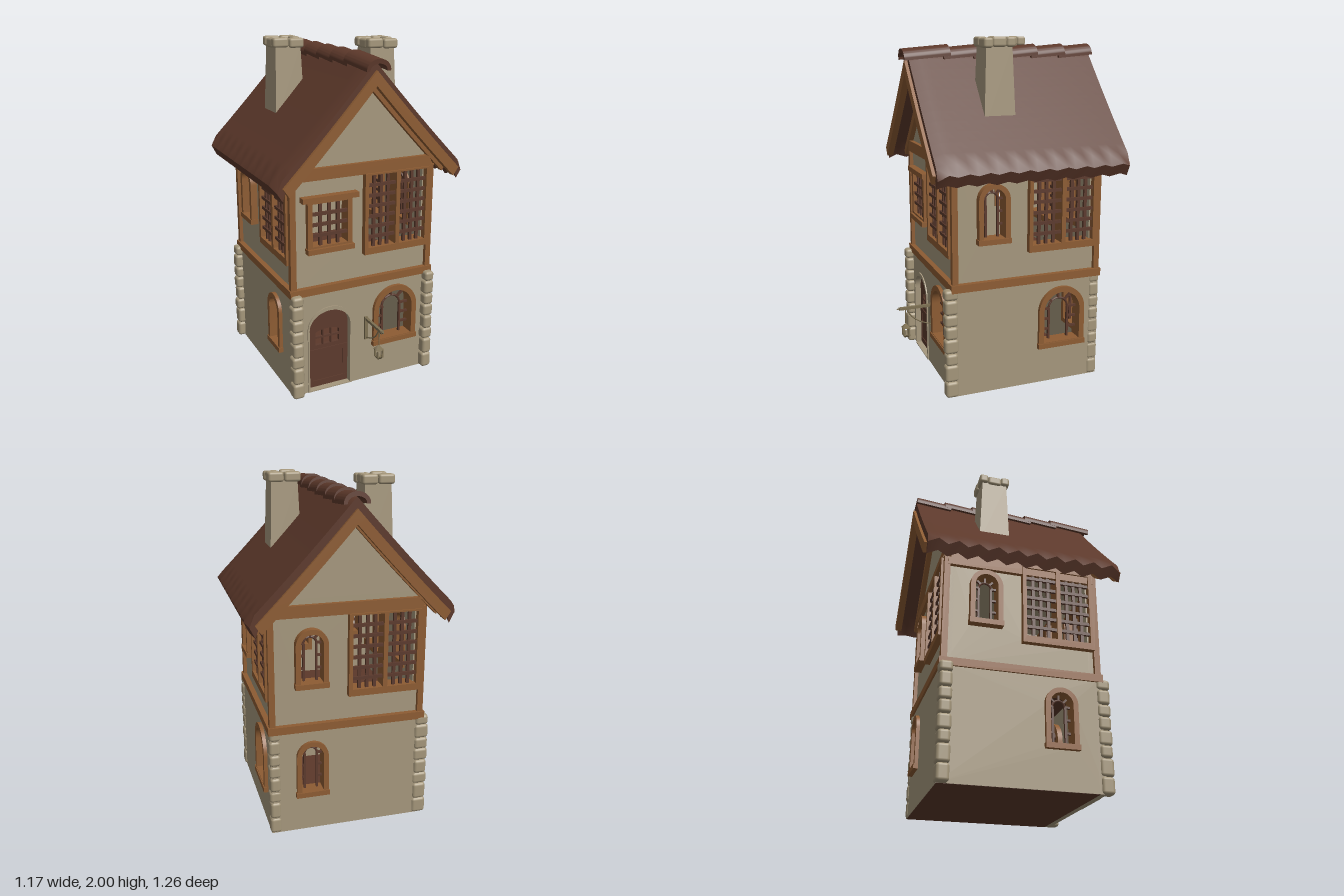
import * as THREE from 'three';
import { toCreasedNormals } from 'three/addons/utils/BufferGeometryUtils.js';
import { RoundedBoxGeometry } from 'three/addons/geometries/RoundedBoxGeometry.js';

const paint = (name, color) => Object.assign(new THREE.MeshStandardMaterial({ color }), { name });
const M = {
  plaster: paint('plaster', 0xa5977d), wood: paint('timber', 0x8d5c33), roof: paint('roofTile', 0x5c382a),
  door: paint('darkTimber', 0x5c3a2d), stone: paint('stone', 0xa4967a), iron: paint('lanternMetal', 0x7d7053),
};
// half widths of the upper and lower walls, centre of the house in z
const HALF = 0.43, BASE = 0.45, CZ = -0.045;

function add(parent, name, geo, mat, x = 0, y = 0, z = 0) {
  const m = new THREE.Mesh(geo, mat);
  m.name = name;
  m.position.set(x, y, z);
  parent.add(m);
  return m;
}
// box given by its extents
const box = (p, name, mat, x0, x1, y0, y1, z0, z1) =>
  add(p, name, new THREE.BoxGeometry(x1 - x0, y1 - y0, z1 - z0), mat, (x0 + x1) / 2, (y0 + y1) / 2, (z0 + z1) / 2);

function rect(S, x0, x1, y0, y1) {
  const s = new S();
  s.moveTo(x0, y0); s.lineTo(x1, y0); s.lineTo(x1, y1); s.lineTo(x0, y1); s.closePath();
  return s;
}
function arch(S, cx, half, y0, spring, rise = half) {
  const s = new S();
  s.moveTo(cx - half, y0); s.lineTo(cx + half, y0); s.lineTo(cx + half, spring);
  s.absellipse(cx, spring, half, rise, 0, Math.PI, false);
  s.closePath();
  return s;
}
function slab(p, name, mat, shape, holes, z0, z1) {
  shape.holes.push(...holes);
  const g = new THREE.ExtrudeGeometry(shape, { depth: z1 - z0, bevelEnabled: false, curveSegments: 14 });
  return add(p, name, toCreasedNormals(g, 0.6), mat, 0, 0, z0);
}

// upper outline of the roof
const roofY = x => 1.93 - 1.13 * Math.abs(x) + 0.115 * x * x;

// arched window: frame, sill, inner arch, rungs and rays
function archWindow(p, cx, half, y0, spring, t, inner) {
  const g = new THREE.Group();
  g.name = 'archedWindow';
  p.add(g);
  const h = half - t;
  slab(g, 'archFrame', M.wood, arch(THREE.Shape, cx, half, y0, spring), [arch(THREE.Path, cx, h, y0 + t, spring)], 0.38, 0.471);
  box(g, 'windowSill', M.wood, cx - half - 0.004, cx + half + 0.004, y0 - 0.002, y0 + 0.028, 0.42, 0.477);
  const b = 0.006, z0 = 0.405, z1 = 0.42;
  add(g, 'innerArch', new THREE.TorusGeometry(inner, 0.007, 6, 16, Math.PI), M.door, cx, spring, 0.412);
  for (const s of [-1, 1]) {
    box(g, 'windowBar', M.door, cx + s * inner - b, cx + s * inner + b, y0 + t, spring, z0, z1);
    for (let i = 1; i <= 3; i++) {
      const y = y0 + t + (spring - y0 - t) * i / 3, m = cx + s * (inner + h) / 2, w = (h - inner) / 2;
      box(g, 'windowRung', M.door, m - w, m + w, y - b, y + b, z0, z1);
    }
  }
  for (const a of [0.25, 0.5, 0.75]) {
    const t0 = a * Math.PI, r = (inner + h) / 2;
    const ray = add(g, 'windowRay', new THREE.BoxGeometry(h - inner, 0.012, 0.015), M.door, cx + r * Math.cos(t0), spring + r * Math.sin(t0), 0.412);
    ray.rotation.z = t0;
  }
  return arch(THREE.Path, cx, h + 0.01, y0 + t - 0.01, spring);
}

// crossed bars filling a rectangle
function grid(p, x0, x1, y0, y1, nx, ny) {
  const t = 0.009;
  for (let i = 1; i <= nx; i++) {
    const x = x0 + (x1 - x0) * i / (nx + 1);
    box(p, 'latticeUpright', M.door, x - t, x + t, y0, y1, 0.432, 0.447);
  }
  for (let i = 1; i <= ny; i++) {
    const y = y0 + (y1 - y0) * i / (ny + 1);
    box(p, 'latticeRail', M.door, x0, x1, y - t, y + t, 0.437, 0.453);
  }
}

// large lattice bay with two lights
function latticeWindow(p) {
  const g = new THREE.Group();
  g.name = 'latticeWindow';
  p.add(g);
  slab(g, 'latticeFrame', M.wood, rect(THREE.Shape, 0, 0.42, 0.81, 1.29),
    [rect(THREE.Path, 0.022, 0.2, 0.85, 1.28), rect(THREE.Path, 0.225, 0.398, 0.85, 1.28)], 0.37, 0.465);
  grid(g, 0.022, 0.2, 0.85, 1.28, 3, 6);
  grid(g, 0.225, 0.398, 0.85, 1.28, 3, 6);
  return rect(THREE.Path, 0.012, 0.408, 0.84, 1.285);
}

// barred square window
function squareWindow(p) {
  const w = new THREE.Group();
  w.name = 'squareWindow';
  p.add(w);
  slab(w, 'squareFrame', M.wood, rect(THREE.Shape, -0.35, -0.078, 0.88, 1.18), [rect(THREE.Path, -0.322, -0.106, 0.911, 1.158)], 0.38, 0.46);
  box(w, 'lintel', M.wood, -0.385, -0.045, 1.17, 1.2, 0.42, 0.475);
  box(w, 'windowSill', M.wood, -0.355, -0.07, 0.87, 0.9, 0.42, 0.475);
  grid(w, -0.322, -0.106, 0.911, 1.158, 3, 3);
  return rect(THREE.Path, -0.335, -0.09, 0.89, 1.175);
}

// arched door with a small barred opening
function frontDoor(p) {
  const d = new THREE.Group();
  d.name = 'frontDoor';
  p.add(d);
  slab(d, 'doorSurround', M.plaster, arch(THREE.Shape, -0.213, 0.142, 0.002, 0.4, 0.13), [arch(THREE.Path, -0.215, 0.13, 0.008, 0.4, 0.107)], 0.41, 0.457);
  slab(d, 'doorLeaf', M.door, arch(THREE.Shape, -0.215, 0.132, 0.008, 0.4, 0.11), [arch(THREE.Path, -0.217, 0.077, 0.28, 0.355, 0.022)], 0.4, 0.42);
  for (const x of [-0.243, -0.191]) box(d, 'doorBar', M.door, x - 0.006, x + 0.006, 0.28, 0.375, 0.405, 0.42);
  box(d, 'doorBar', M.door, -0.295, -0.14, 0.322, 0.334, 0.405, 0.42);
  for (const y of [0.02, 0.225]) box(d, 'doorRail', M.door, -0.34, -0.09, y, y + 0.03, 0.415, 0.425);
  for (const x of [-0.325, -0.105]) box(d, 'doorStile', M.door, x - 0.012, x + 0.012, 0.02, 0.25, 0.415, 0.424);
  return arch(THREE.Path, -0.215, 0.13, 0.008, 0.4, 0.107);
}

function buildWall(house, name, turn) {
  const side = new THREE.Group(), gabled = turn % 2 === 0;
  side.name = name;
  side.rotation.y = turn * Math.PI / 2;
  house.add(side);
  const upper = [latticeWindow(side)], lower = [];
  if (turn === 0) {
    upper.push(squareWindow(side));
    lower.push(frontDoor(side));
  } else upper.push(archWindow(side, -0.21, 0.0925, 0.885, 1.13, 0.028, 0.036));
  if (turn < 2) lower.push(archWindow(side, 0.21, 0.145, 0.22, 0.44, 0.032, 0.06));
  else lower.push(archWindow(side, turn === 2 ? -0.21 : 0.21, 0.0925, 0.22, 0.4675, 0.028, 0.036));
  slab(side, 'lowerWall', M.plaster, rect(THREE.Shape, -BASE, BASE, 0, 0.645), lower, BASE - 0.04, BASE);
  const s = new THREE.Shape();
  s.moveTo(-HALF, 0.64); s.lineTo(HALF, 0.64); s.lineTo(HALF, 1.385);
  if (gabled) s.lineTo(0, 1.86);
  s.lineTo(-HALF, 1.385);
  s.closePath();
  slab(side, 'upperWall', M.plaster, s, upper, HALF - 0.04, HALF);
  box(side, 'floorBeam', M.wood, -0.459, 0.459, 0.622, 0.667, 0.42, 0.461);
  box(side, 'topBeam', M.wood, -0.43, 0.43, gabled ? 1.288 : 1.238, gabled ? 1.355 : 1.31, 0.42, 0.455);
  box(side, 'cornerPost', M.wood, 0.418, 0.452, 0.66, 1.3, 0.418, 0.452);
}

function buildRoof(root) {
  const roof = new THREE.Group();
  roof.name = 'roof';
  root.add(roof);
  const g = new THREE.BoxGeometry(1.17, 1, 1.128, 24, 1, 20), p = g.attributes.position;
  for (let i = 0; i < p.count; i++) {
    const x = p.getX(i), z = p.getZ(i), low = p.getY(i) < 0;
    // eaves ripple along the roof normal, the front edge rolls down
    const dip = Math.abs(x) > 0.58 && Math.round((z + 0.564) / 0.0564) % 2 === 0 ? 0.022 : 0;
    const roll = z > 0.56 ? 0.015 : 0;
    p.setXYZ(i, x * (low ? 0.95 : 1) - Math.sign(x) * dip, roofY(x) - (low ? 0.06 : roll) - dip * 0.8, z);
  }
  g.computeVertexNormals();
  add(roof, 'roofCovering', g, M.roof, 0, 0, -0.049);
  // curved boards along both gables, and rafters against the walls
  for (const [name, z0, z1] of [['bargeBoard', 0.495, 0.533], ['bargeBoard', -0.63, -0.592], ['rafter', 0.38, 0.415], ['rafter', -0.505, -0.47]]) {
    const s = new THREE.Shape(), n = 12, xs = [...Array(2 * n + 1).keys()].map(i => (i / n - 1) * 0.535);
    xs.forEach((x, i) => (i ? s.lineTo(x, roofY(x) - 0.058) : s.moveTo(x, roofY(x) - 0.058)));
    xs.reverse().forEach(x => s.lineTo(x * 0.94, roofY(x * 0.94) - 0.138));
    s.closePath();
    slab(roof, name, M.wood, s, [], z0, z1);
  }
  // overlapping half-round ridge tiles
  for (let i = 0; i < 6; i++) {
    const s = new THREE.Shape();
    s.absellipse(0, 0, 0.071, 0.059, -0.1, Math.PI + 0.1, false);
    s.absellipse(0, 0, 0.05, 0.034, Math.PI + 0.1, -0.1, true);
    s.closePath();
    const tile = slab(roof, 'ridgeTile', M.roof, s, [], 0, i === 0 ? 0.27 : 0.22);
    tile.position.set(0, 1.898, 0.278 - i * 0.179);
    tile.rotation.x = 0.085;
  }
}

function buildChimney(root, cx, cz) {
  const c = new THREE.Group();
  c.name = 'chimney';
  c.position.set(cx, 0, cz);
  root.add(c);
  const g = new THREE.CylinderGeometry(0.108, 0.132, 0.45, 4, 1).toNonIndexed();
  g.rotateY(Math.PI / 4);
  g.computeVertexNormals();
  add(c, 'chimneyShaft', g, M.plaster, 0, 1.725, 0);
  box(c, 'flue', M.roof, -0.05, 0.05, 1.945, 1.953, -0.05, 0.05);
  const stone = (w, d, x, z, k) => {
    const m = add(c, 'capStone', new RoundedBoxGeometry(w, 0.055, d, 2, 0.014), M.stone, x, 1.972 - k * 0.005, z);
    m.rotation.y = (k - 0.5) * 0.06;
  };
  for (const s of [-1, 1]) {
    stone(0.094, 0.053, -0.047, s * 0.067, 0);
    stone(0.09, 0.055, 0.049, s * 0.067, s > 0 ? 1 : 0);
    stone(0.048, 0.084, s * 0.066, 0, s > 0 ? 0 : 1);
  }
}

// stacked corner stones of uneven size
function buildQuoin(root, cx, cz, w, d) {
  const q = new THREE.Group();
  q.name = 'cornerStones';
  root.add(q);
  const heights = [0.095, 0.1, 0.07, 0.085, 0.075, 0.07, 0.085, 0.06];
  let y = 0;
  heights.forEach((h, i) => {
    const k = 1 - 0.1 * (i % 2) + 0.03 * (i % 3);
    add(q, 'cornerStone', new RoundedBoxGeometry(w * k, h, d * (1.9 - k * 0.9), 3, 0.018), M.stone, cx, y + h / 2, cz);
    y += h;
  });
}

function buildLantern(root) {
  const l = new THREE.Group();
  l.name = 'hangingLantern';
  l.position.x = 0.02;
  root.add(l);
  box(l, 'wallPlate', M.iron, -0.01, 0.01, 0.27, 0.415, 0.4, 0.418);
  box(l, 'bracketArm', M.iron, -0.008, 0.008, 0.395, 0.411, 0.4, 0.61);
  const tip = add(l, 'armTip', new THREE.ConeGeometry(0.012, 0.03, 6), M.iron, 0, 0.403, 0.612);
  tip.rotation.x = Math.PI / 2;
  const v = (y, z) => new THREE.Vector3(0, y, z);
  const brace = new THREE.CatmullRomCurve3([v(0.4, 0.565), v(0.35, 0.535), v(0.31, 0.485), v(0.28, 0.41)]);
  add(l, 'brace', new THREE.TubeGeometry(brace, 12, 0.004, 5), M.iron);
  add(l, 'hangingChain', new THREE.CylinderGeometry(0.004, 0.004, 0.1, 5), M.iron, 0, 0.35, 0.57);
  add(l, 'lanternCap', new THREE.ConeGeometry(0.034, 0.03, 4), M.iron, 0, 0.294, 0.57).rotation.y = Math.PI / 4;
  add(l, 'lanternBase', new THREE.CylinderGeometry(0.026, 0.02, 0.012, 4), M.iron, 0, 0.228, 0.57).rotation.y = Math.PI / 4;
  for (const sx of [-1, 1]) for (const sz of [-1, 1])
    box(l, 'lanternPost', M.iron, sx * 0.016 - 0.004, sx * 0.016 + 0.004, 0.23, 0.285, 0.566 + sz * 0.016, 0.574 + sz * 0.016);
  add(l, 'lanternCandle', new THREE.CylinderGeometry(0.007, 0.007, 0.03, 6), M.stone, 0, 0.246, 0.57);
}

export function createModel() {
  const root = new THREE.Group();
  root.name = 'cottage';
  const house = new THREE.Group();
  house.name = 'house';
  house.position.z = CZ;
  root.add(house);
  ['frontWall', 'leftWall', 'backWall', 'rightWall'].forEach((n, i) => buildWall(house, n, i));
  box(house, 'groundFloor', M.roof, -0.448, 0.448, -0.001, 0.007, -0.448, 0.415);
  box(house, 'upperFloor', M.roof, -0.4, 0.4, 0.63, 0.655, -0.4, 0.4);
  box(house, 'ceiling', M.plaster, -0.4, 0.4, 1.292, 1.31, -0.4, 0.4);
  buildRoof(root);
  buildChimney(root, -0.236, -0.177);
  buildChimney(root, 0.236, 0.08);
  buildQuoin(root, -0.427, 0.415, 0.07, 0.074);
  buildQuoin(root, 0.43, 0.415, 0.064, 0.074);
  buildQuoin(root, -0.45, -0.47, 0.085, 0.07);
  buildQuoin(root, 0.424, -0.468, 0.066, 0.066);
  buildLantern(root);
  return root;
}
